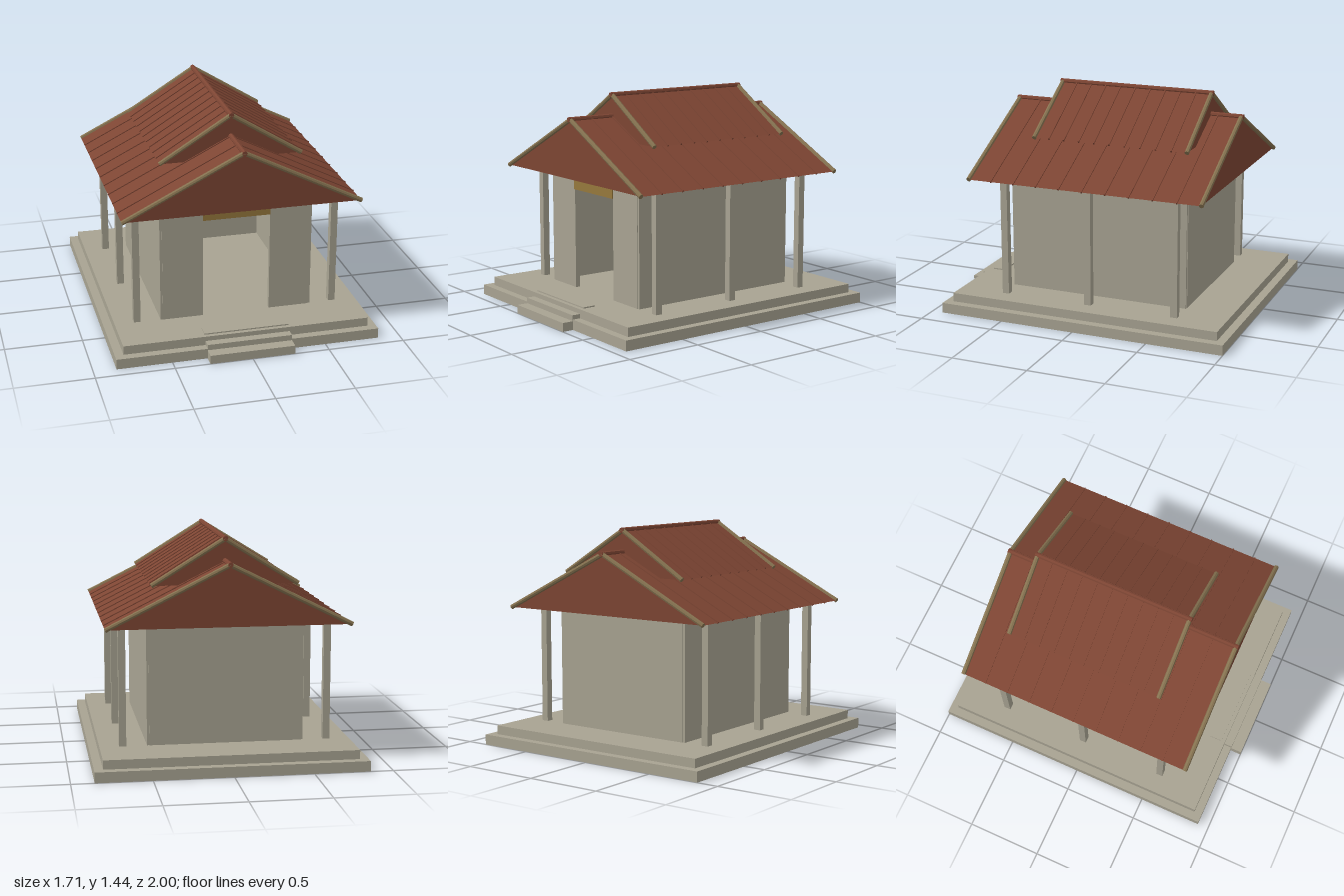
import * as THREE from 'three';

const mat = (color, side = THREE.FrontSide) =>
  new THREE.MeshStandardMaterial({ color, side, flatShading: true });
const stone = mat(0xa8a392);
const tile = mat(0x7d4533);
const timber = mat(0x857250);
const gold = mat(0x96783c);

// Box given by its min / max extents
function box(parent, name, material, x0, x1, y0, y1, z0, z1) {
  const mesh = new THREE.Mesh(new THREE.BoxGeometry(x1 - x0, y1 - y0, z1 - z0), material);
  mesh.position.set((x0 + x1) / 2, (y0 + y1) / 2, (z0 + z1) / 2);
  mesh.name = name;
  parent.add(mesh);
  return mesh;
}

// Round bar between two points
function bar(parent, name, material, a, b, radius) {
  const dir = b.clone().sub(a);
  const mesh = new THREE.Mesh(new THREE.CylinderGeometry(radius, radius, dir.length(), 8), material);
  mesh.position.copy(a).add(b).multiplyScalar(0.5);
  mesh.quaternion.setFromUnitVectors(new THREE.Vector3(0, 1, 0), dir.normalize());
  mesh.name = name;
  parent.add(mesh);
}

// Gabled roof: solid prism, tile ribs, gable trims and ridge bar
function gableRoof(name, halfWidth, eaveY, ridgeY, zBack, zFront, strips) {
  const roof = new THREE.Group();
  roof.name = name;
  const depth = zFront - zBack;
  const shape = new THREE.Shape();
  shape.moveTo(-halfWidth, eaveY);
  shape.lineTo(halfWidth, eaveY);
  shape.lineTo(0, ridgeY);
  shape.closePath();
  const body = new THREE.Mesh(
    new THREE.ExtrudeGeometry(shape, { depth, bevelEnabled: false }), tile);
  body.position.z = zBack;
  body.name = 'roofBody';
  roof.add(body);

  const rise = ridgeY - eaveY;
  const slope = Math.hypot(halfWidth, rise);
  const angle = Math.atan2(rise, halfWidth);
  for (const s of [-1, 1]) {
    // ribs between the tile strips
    for (let i = 1; i < strips; i++) {
      const rib = new THREE.Mesh(new THREE.BoxGeometry(slope, 0.012, 0.009), tile);
      rib.position.set(s * halfWidth / 2, (eaveY + ridgeY) / 2, zBack + depth * i / strips);
      rib.rotation.z = -s * angle;
      rib.name = 'tileRib';
      roof.add(rib);
    }
    // trim along the gable edges
    for (const z of [zBack, zFront]) {
      bar(roof, 'gableTrim', timber,
        new THREE.Vector3(s * halfWidth, eaveY, z), new THREE.Vector3(0, ridgeY, z), 0.0155);
    }
  }
  bar(roof, 'ridgeBar', tile,
    new THREE.Vector3(0, ridgeY, zBack - 0.015), new THREE.Vector3(0, ridgeY, zFront + 0.015), 0.017);
  return roof;
}

export function createModel() {
  const model = new THREE.Group();
  model.name = 'pavilion';

  // Stepped platform
  const platform = new THREE.Group();
  platform.name = 'platform';
  box(platform, 'lowerTier', stone, -0.855, 0.855, 0, 0.067, -1, 0.925);
  box(platform, 'upperTier', stone, -0.8, 0.8, 0.067, 0.125, -0.945, 0.872);
  model.add(platform);

  // Entrance steps
  const steps = new THREE.Group();
  steps.name = 'steps';
  box(steps, 'bottomStep', stone, -0.275, 0.275, 0, 0.057, 0.915, 1);
  box(steps, 'middleStep', stone, -0.275, 0.275, 0.06, 0.095, 0.84, 0.927);
  box(steps, 'topStep', stone, -0.275, 0.275, 0.12, 0.133, 0.76, 0.845);
  model.add(steps);

  // Hollow room with an open doorway
  const room = new THREE.Group();
  room.name = 'room';
  box(room, 'backWall', stone, -0.485, 0.485, 0.12, 0.87, -0.64, -0.61);
  for (const s of [-1, 1]) {
    const side = box(room, 'sideWall', stone, 0.47, 0.5, 0.12, 0.87, -0.636, 0.574);
    side.position.x *= s;
    const front = box(room, 'frontWall', stone, 0.22, 0.485, 0.12, 0.87, 0.548, 0.578);
    front.position.x *= s;
  }
  box(room, 'doorLintel', gold, -0.22, 0.22, 0.79, 0.87, 0.545, 0.586);
  model.add(room);

  // Veranda posts
  const posts = new THREE.Group();
  posts.name = 'posts';
  for (const x of [-0.653, 0.653]) {
    for (const z of [0.55, -0.032, -0.617]) {
      box(posts, 'post', stone, x - 0.0225, x + 0.0225, 0.12, 0.905, z - 0.0225, z + 0.0225);
    }
  }
  model.add(posts);

  // Two stacked roofs
  model.add(gableRoof('lowerRoof', 0.768, 0.9, 1.284, -0.82, 0.75, 10));
  model.add(gableRoof('upperRoof', 0.464, 1.135, 1.422, -0.617, 0.428, 10));
  return model;
}
